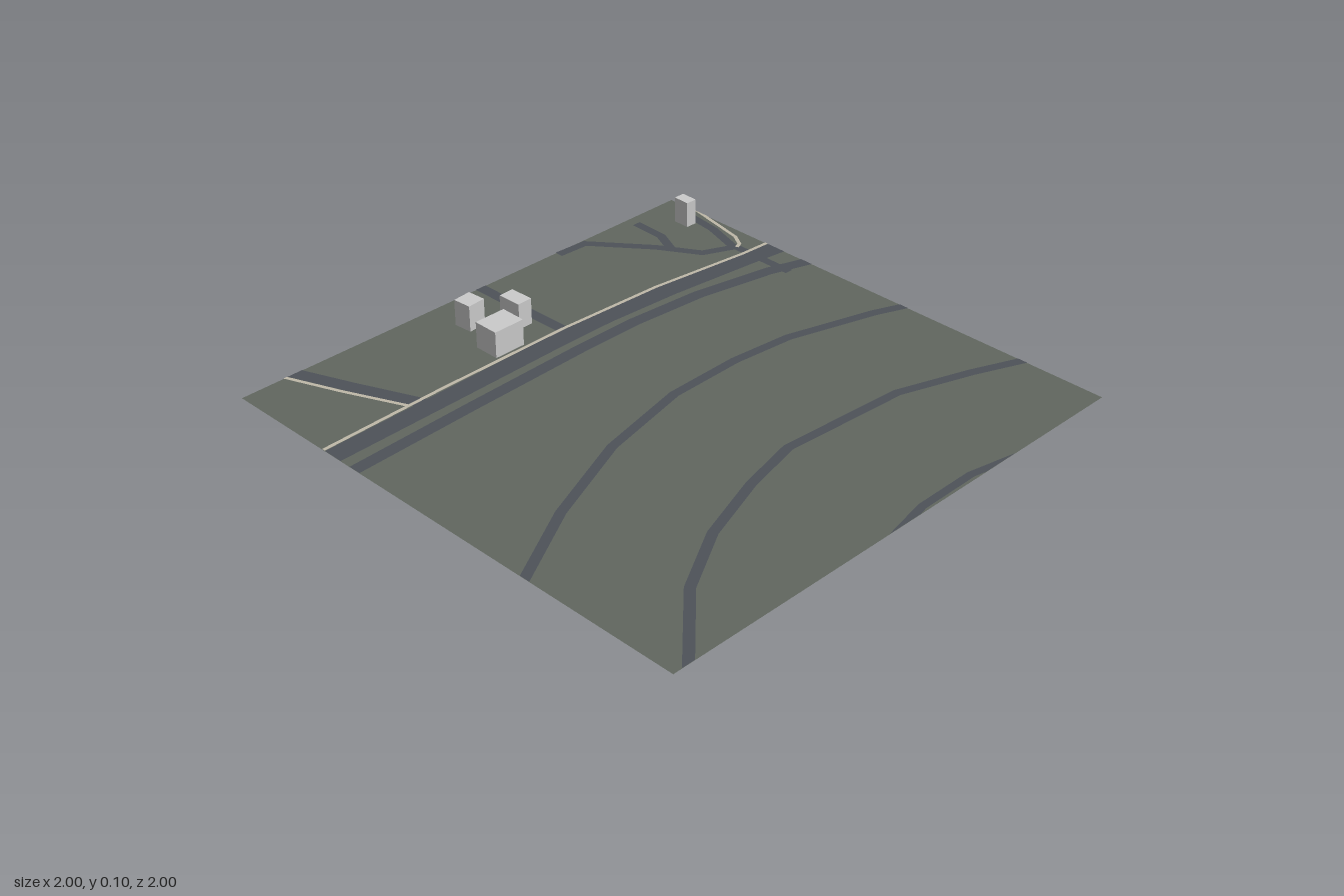
import * as THREE from 'three';

const asphalt = new THREE.MeshStandardMaterial({ color: 0x4e5259, side: THREE.DoubleSide });
const paving = new THREE.MeshStandardMaterial({ color: 0xbfb9a8, side: THREE.DoubleSide });
const soil = new THREE.MeshStandardMaterial({ color: 0x61675f, side: THREE.DoubleSide });
const wall = new THREE.MeshStandardMaterial({ color: 0xcccccc });

// Flat strip along [x, z] points with mitred joints; ends on the ground's border are cut along it
function ribbon(name, points, width, y, material) {
  const pts = points.map(([x, z]) => new THREE.Vector2(x, z));
  const normal = (a, b) => {
    const d = b.clone().sub(a).normalize();
    return new THREE.Vector2(-d.y, d.x);
  };
  const position = [], index = [];
  pts.forEach((p, i) => {
    const last = pts.length - 1;
    const before = normal(pts[Math.max(i - 1, 0)], pts[Math.max(i, 1)]);
    const after = normal(pts[Math.min(i, last - 1)], pts[Math.min(i + 1, last)]);
    let side = before.clone().add(after).normalize();
    if (i === 0 || i === last) {
      if (Math.abs(p.y) === 1) side = new THREE.Vector2(Math.sign(before.x), 0);
      else if (Math.abs(p.x) === 1) side = new THREE.Vector2(0, Math.sign(before.y));
    }
    side.multiplyScalar(width / 2 / side.dot(before));
    position.push(p.x - side.x, y, p.y - side.y, p.x + side.x, y, p.y + side.y);
    if (i < last) {
      const k = i * 2;
      index.push(k, k + 1, k + 2, k + 1, k + 3, k + 2);
    }
  });
  const geometry = new THREE.BufferGeometry();
  geometry.setAttribute('position', new THREE.Float32BufferAttribute(position, 3));
  geometry.setIndex(index);
  geometry.computeVertexNormals();
  const mesh = new THREE.Mesh(geometry, material);
  mesh.name = name;
  return mesh;
}

export function createModel() {
  const model = new THREE.Group();
  model.name = 'siteMap';

  const ground = new THREE.Mesh(new THREE.PlaneGeometry(2, 2).rotateX(-Math.PI / 2), soil);
  ground.name = 'ground';
  model.add(ground);

  // Roads: name, width, centre line
  const roads = [
    ['mainRoad', 0.08, [[-0.455, -1], [-0.475, -0.85], [-0.515, -0.5], [-0.535, -0.2], [-0.535, 0.05], [-0.525, 0.5], [-0.515, 1]]],
    ['parallelRoad', 0.05, [[-0.305, -1], [-0.355, -0.85], [-0.415, -0.55], [-0.44, -0.25], [-0.44, 0], [-0.425, 0.5], [-0.405, 1]]],
    ['linkRoad', 0.035, [[-0.57, -0.9], [-0.3, -0.9]]],
    ['middleRoad', 0.036, [[0.155, -1], [0.11, -0.89], [0.01, -0.555], [-0.015, -0.315], [-0.01, -0.02], [0.07, 0.34], [0.22, 0.7], [0.39, 1]]],
    ['outerRoad', 0.036, [[0.675, -1], [0.6, -0.82], [0.505, -0.545], [0.47, -0.05], [0.525, 0.18], [0.62, 0.45], [0.76, 0.69], [1, 0.94]]],
    ['borderRoad', 0.03, [[1, -0.46], [0.975, -0.34], [0.977, -0.1], [1, 0.01]]],
    ['sideStreet', 0.045, [[-1, -0.035], [-0.575, -0.045]]],
    ['frontStreet', 0.055, [[-1, 0.785], [-0.8, 0.705], [-0.555, 0.6]]],
    ['backLane', 0.035, [[-0.93, -0.965], [-0.72, -0.94], [-0.56, -0.89]]],
    ['windingLane', 0.035, [[-0.565, -0.9], [-0.62, -0.78], [-0.77, -0.69], [-0.978, -0.525], [-0.985, -0.4]]],
    ['spurLane', 0.035, [[-0.955, -0.768], [-0.82, -0.765], [-0.71, -0.715]]],
  ];
  roads.forEach(([name, width, line]) => model.add(ribbon(name, line, width, 0.0015, asphalt)));

  // Pale footpaths
  const paths = [
    ['mainFootpath', [[-0.503, -1], [-0.51, -0.88], [-0.56, -0.48], [-0.58, -0.05], [-0.577, 0.5], [-0.563, 1]]],
    ['frontFootpath', [[-1, 0.825], [-0.8, 0.745], [-0.575, 0.645]]],
    ['backFootpath', [[-0.85, -1], [-0.62, -0.955], [-0.57, -0.925], [-0.56, -0.9]]],
  ];
  paths.forEach(([name, line]) => model.add(ribbon(name, line, 0.014, 0.0025, paving)));

  // Buildings: x, z, width, depth, turn
  const height = 0.1;
  [
    [-0.648, 0.18, 0.1, 0.125, 0],
    [-0.732, 0.033, 0.094, 0.06, 0.04],
    [-0.832, 0.157, 0.072, 0.072, 0.08],
    [-0.835, -0.908, 0.066, 0.044, -0.03],
  ].forEach(([x, z, w, d, turn], i) => {
    const building = new THREE.Mesh(new THREE.BoxGeometry(w, height, d), wall);
    building.name = `building${i + 1}`;
    building.position.set(x, height / 2, z);
    building.rotation.y = turn;
    model.add(building);
  });

  return model;
}
